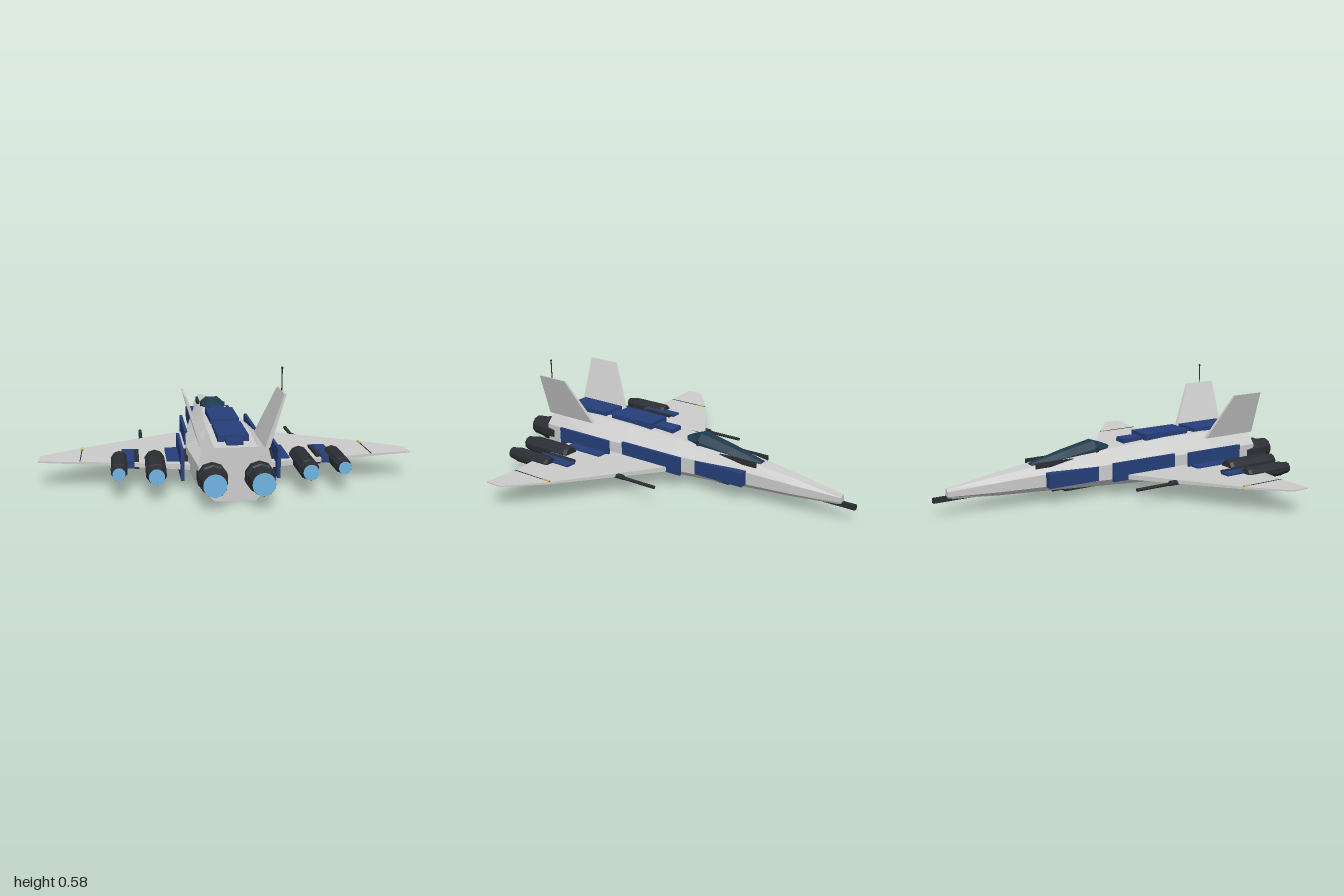
import * as THREE from 'three';

const mat = (color) => new THREE.MeshStandardMaterial({ color, flatShading: true });
const GREY = mat(0xcccccc), DARK = mat(0x2b2e33), BLUE = mat(0x253f7a);
const GLASS = mat(0x1f3a4d), GLOW = mat(0x6fb4e0), AMBER = mat(0xd8b060);

// Closed solid through rings of [x, y, z] points, faces turned outward
function loft(rings) {
  const n = rings[0].length, tris = [];
  for (let i = 0; i < rings.length - 1; i++) {
    for (let j = 0; j < n; j++) {
      const k = (j + 1) % n, a = rings[i], b = rings[i + 1];
      tris.push([a[j], a[k], b[k]], [a[j], b[k], b[j]]);
    }
  }
  const last = rings[rings.length - 1];
  for (let j = 1; j < n - 1; j++) {
    tris.push([rings[0][0], rings[0][j + 1], rings[0][j]], [last[0], last[j], last[j + 1]]);
  }
  let volume = 0;
  const v = (p) => new THREE.Vector3(...p);
  for (const [a, b, c] of tris) volume += v(a).dot(v(b).cross(v(c)));
  if (volume < 0) tris.forEach((t) => t.reverse());
  const geo = new THREE.BufferGeometry();
  geo.setAttribute('position', new THREE.Float32BufferAttribute(tris.flat(2), 3));
  geo.computeVertexNormals();
  return geo;
}

export function createModel() {
  const model = new THREE.Group();
  const add = (name, geo, material, parent = model) => {
    const mesh = new THREE.Mesh(geo, material);
    mesh.name = name;
    parent.add(mesh);
    return mesh;
  };
  // Box given by its extents
  const box = (name, material, x0, x1, y0, y1, z0, z1) => add(name,
    new THREE.BoxGeometry(Math.abs(x1 - x0), y1 - y0, z1 - z0)
      .translate((x0 + x1) / 2, (y0 + y1) / 2, (z0 + z1) / 2), material);
  // Rod along z
  const rod = (name, x, y, r, z0, z1) => add(name,
    new THREE.CylinderGeometry(r, r, z1 - z0, 8).rotateX(Math.PI / 2)
      .translate(x, y, (z0 + z1) / 2), DARK);

  // Fuselage: z, top half width, side half width, bottom half width, bottom, lower side, shoulder, top
  const hull = [
    [-0.93, 0.008, 0.014, 0.008, 0.088, 0.1, 0.125, 0.138],
    [-0.67, 0.03, 0.058, 0.032, 0.072, 0.095, 0.145, 0.172],
    [-0.36, 0.05, 0.09, 0.05, 0.056, 0.09, 0.16, 0.208],
    [0, 0.07, 0.14, 0.075, 0.036, 0.085, 0.17, 0.24],
    [0.3, 0.09, 0.18, 0.09, 0.018, 0.08, 0.175, 0.256],
    [0.55, 0.1, 0.195, 0.1, 0.008, 0.08, 0.175, 0.26],
    [0.86, 0.095, 0.165, 0.09, 0, 0.07, 0.165, 0.245],
  ];
  add('fuselage', loft(hull.map(([z, t, s, b, y0, y1, y2, y3]) => [
    [-b, y0, z], [b, y0, z], [s, y1, z], [s, y2, z],
    [t, y3, z], [-t, y3, z], [-s, y2, z], [-s, y1, z],
  ])), GREY);
  box('noseProbe', DARK, -0.011, 0.011, 0.078, 0.102, -1, -0.67);

  // Canopy: z, half width, base, top
  const canopy = [
    [-0.48, 0.028, 0.18, 0.203], [-0.3, 0.052, 0.19, 0.245], [-0.12, 0.065, 0.21, 0.28],
    [-0.05, 0.05, 0.22, 0.255], [-0.02, 0.022, 0.225, 0.242],
  ];
  add('canopy', loft(canopy.map(([z, w, y0, y1]) => [
    [-w, y0, z], [w, y0, z], [w, y0 + (y1 - y0) * 0.5, z],
    [w * 0.4, y1, z], [-w * 0.4, y1, z], [-w, y0 + (y1 - y0) * 0.5, z],
  ])), GLASS);
  box('canopyFrame', DARK, -0.067, 0.067, 0.21, 0.25, -0.128, -0.112);

  // Dorsal armour and belly gun
  box('dorsalSpine', BLUE, -0.037, 0.037, 0.235, 0.267, 0.06, 0.83);
  box('dorsalPanelFront', BLUE, -0.07, 0.07, 0.25, 0.283, 0.18, 0.455);
  box('dorsalPanelRear', BLUE, -0.07, 0.07, 0.25, 0.28, 0.5, 0.775);
  box('bellyGunHousing', DARK, -0.022, 0.022, 0.028, 0.065, -0.29, -0.075);
  rod('bellyGunBarrel', 0, 0.043, 0.011, -0.355, -0.28);

  // Engine pod with tapered nozzle and glowing exhaust
  const engine = (name, x, y, r, z0, z1, z2, exit) => {
    const pod = new THREE.Group();
    pod.name = name;
    pod.position.set(x, y, 0);
    model.add(pod);
    const profile = [[0, z0], [r * 0.85, z0], [r, z0 + 0.02], [r, z1], [r * 0.9, z1 + 0.006], [exit, z2], [0, z2 - 0.002]];
    add('casing', new THREE.LatheGeometry(profile.map((p) => new THREE.Vector2(...p)), 10)
      .rotateX(Math.PI / 2), DARK, pod);
    add('exhaust', new THREE.CircleGeometry(exit * 0.97, 20).translate(0, 0, z2 + 0.0005), GLOW, pod);
  };

  for (const s of [1, -1]) {
    const side = s > 0 ? 'left' : 'right';

    // Wing: span position, leading edge, trailing edge, height, half thickness
    const wing = [[0.1, -0.06, 0.665, 0.1, 0.014], [0.69, 0.34, 0.595, 0.121, 0.006], [0.88, 0.5, 0.595, 0.13, 0.003]];
    add(side + 'Wing', loft(wing.map(([x, le, te, y, h]) => [
      [s * x, y - h, le], [s * x, y + h, le], [s * x, y + h, te], [s * x, y - h, te],
    ])), GREY);
    box(side + 'WingSeam', DARK, s * 0.688, s * 0.692, 0.114, 0.129, 0.345, 0.594);
    box(side + 'WingLight', AMBER, s * 0.684, s * 0.696, 0.118, 0.132, 0.35, 0.39);

    // Tail fin leaning outward
    const fin = [[0.142, 0.235, 0.53, 0.85, 0.011], [0.22, 0.475, 0.66, 0.845, 0.005]];
    add(side + 'TailFin', loft(fin.map(([x, y, z0, z1, h]) => [
      [s * x - h, y, z0], [s * x + h, y, z0], [s * x + h, y, z1], [s * x - h, y, z1],
    ])), GREY);

    // Armour plates and canopy rail
    box(side + 'NosePlate', BLUE, s * 0.08, s * 0.125, 0.09, 0.165, -0.43, -0.145);
    box(side + 'MidPlate', BLUE, s * 0.17, s * 0.185, 0.088, 0.187, -0.09, 0.295);
    box(side + 'RearPlate', BLUE, s * 0.215, s * 0.23, 0.053, 0.193, 0.355, 0.705);
    box(side + 'PlateMount', DARK, s * 0.13, s * 0.22, 0.105, 0.14, 0.45, 0.6);
    box(side + 'CanopyRail', DARK, s * 0.052, s * 0.064, 0.185, 0.212, -0.475, -0.26);
    box(side + 'InnerWingPanel', BLUE, s * 0.23, s * 0.29, 0.09, 0.126, 0.37, 0.605);
    box(side + 'OuterWingPanel', BLUE, s * 0.44, s * 0.5, 0.1, 0.132, 0.405, 0.635);
    box(side + 'WingPylon', DARK, s * 0.418, s * 0.44, 0.088, 0.135, 0.42, 0.605);

    // Wing gun
    rod(side + 'GunBarrel', s * 0.4, 0.103, 0.009, -0.09, 0.36);
    rod(side + 'GunBody', s * 0.4, 0.106, 0.014, 0.11, 0.355);

    engine(side + 'MainEngine', s * 0.105, 0.115, 0.068, 0.7, 0.91, 1, 0.053);
    engine(side + 'InnerPod', s * 0.345, 0.113, 0.048, 0.52, 0.785, 0.835, 0.037);
    engine(side + 'OuterPod', s * 0.51, 0.118, 0.039, 0.51, 0.745, 0.795, 0.03);
  }

  // Antenna on the left fin
  add('antenna', new THREE.CylinderGeometry(0.003, 0.003, 0.11, 6).translate(0.22, 0.525, 0.755), DARK);
  add('antennaTip', new THREE.SphereGeometry(0.006, 8, 6).translate(0.22, 0.577, 0.755), DARK);

  return model;
}
